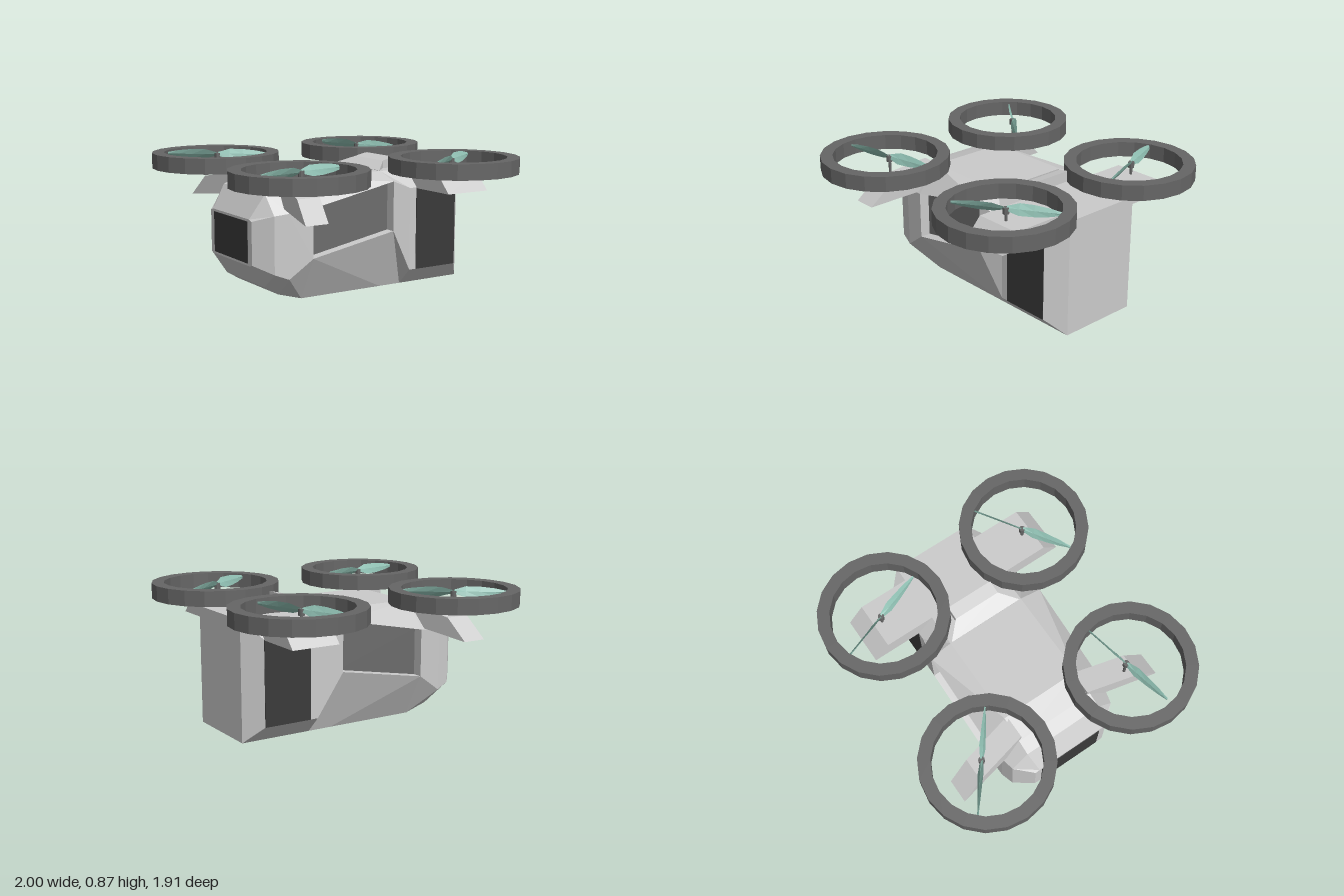
import * as THREE from 'three';

const material = (color) => new THREE.MeshStandardMaterial({ color, flatShading: true, side: THREE.DoubleSide });
const grey = material(0xcccccc);
const ringGrey = material(0x666666);
const glass = material(0x6c6c6c);
const black = material(0x3a3a3a);
const teal = material(0x8fbfb2);

function add(parent, name, geometry, mat, x = 0, y = 0, z = 0) {
  const mesh = new THREE.Mesh(geometry, mat);
  mesh.name = name;
  mesh.position.set(x, y, z);
  parent.add(mesh);
  return mesh;
}

// Geometry from a list of triangles, each corner an [x, y, z]
function fromTriangles(tris) {
  const g = new THREE.BufferGeometry();
  g.setAttribute('position', new THREE.Float32BufferAttribute(tris.flat(2), 3));
  g.computeVertexNormals();
  return g;
}

// Skin over a row of closed sections; skip(i, j) leaves a strip open
function loft(rings, skip = () => false) {
  const tris = [];
  const n = rings[0].length;
  for (let i = 0; i < rings.length - 1; i++) {
    for (let j = 0; j < n; j++) {
      if (skip(i, j)) continue;
      const k = (j + 1) % n;
      const a = rings[i][j], b = rings[i][k], c = rings[i + 1][k], d = rings[i + 1][j];
      if (j < n / 2) tris.push([a, d, b], [d, c, b]);
      else tris.push([a, d, c], [a, c, b]);
    }
  }
  const first = rings[0], last = rings[rings.length - 1];
  for (let j = 1; j < n - 1; j++) {
    tris.push([first[0], first[j], first[j + 1]], [last[0], last[j + 1], last[j]]);
  }
  return fromTriangles(tris);
}

// Cabin stations from nose to tail: x, then half-width and height of
// the floor edge, lower side, upper side and roof edge
const stations = [
  [-0.745, [[0.24, 0.24], [0.27, 0.25], [0.27, 0.52], [0.24, 0.53]]],
  [-0.65, [[0.25, 0.1], [0.38, 0.2], [0.38, 0.56], [0.27, 0.68]]],
  [-0.56, [[0.26, 0.045], [0.4, 0.165], [0.4, 0.57], [0.27, 0.71]]],
  [-0.4, [[0.27, 0], [0.42, 0.28], [0.42, 0.59], [0.27, 0.76]]],
  [0.2, [[0.27, 0], [0.42, 0.39], [0.42, 0.71], [0.27, 0.76]]],
  [0.36, [[0.27, 0], [0.38, 0.11], [0.38, 0.65], [0.27, 0.76]]],
  [0.73, [[0.27, 0], [0.38, 0.11], [0.38, 0.65], [0.27, 0.76]]],
  [0.83, [[0.27, 0], [0.27, 0], [0.27, 0.76], [0.27, 0.76]]],
];

function buildCabin(parent) {
  const rings = stations.map(([x, side]) => [
    ...side.map(([w, y]) => [x, y, w]),
    ...side.slice().reverse().map(([w, y]) => [x, y, -w]),
  ]);
  add(parent, 'cabin', loft(rings, (i, j) => i === 3 && (j === 1 || j === 5)), grey);

  for (const s of [1, -1]) {
    // Recessed side window with its surrounding reveal
    const outline = [[-0.4, 0.28], [0.2, 0.39], [0.2, 0.71], [-0.4, 0.59]];
    const outer = outline.map(([x, y]) => [x, y, s * 0.42]);
    const inner = outline.map(([x, y]) => [x, y, s * 0.35]);
    const reveal = [];
    for (let i = 0; i < 4; i++) {
      const k = (i + 1) % 4;
      const quad = [outer[i], outer[k], inner[k], inner[i]];
      if (s < 0) quad.reverse();
      reveal.push([quad[0], quad[1], quad[2]], [quad[0], quad[2], quad[3]]);
    }
    add(parent, 'windowReveal', fromTriangles(reveal), grey);
    const pane = s > 0 ? inner : inner.slice().reverse();
    add(parent, 'sideWindow', fromTriangles([[pane[0], pane[1], pane[2]], [pane[0], pane[2], pane[3]]]), glass);
    // Dark side door
    add(parent, 'sideDoor', new THREE.BoxGeometry(0.32, 0.54, 0.01), black, 0.57, 0.38, s * 0.378);
  }

  add(parent, 'windshield', new THREE.BoxGeometry(0.008, 0.26, 0.44), black, -0.745, 0.385, 0);

  // Raised roof fairing
  const fairing = [[0.2, 0.26, 0.762], [0.3, 0.16, 0.81], [0.385, 0.16, 0.83]].map(([x, w, y]) =>
    [[x, 0.74, w], [x, y, w], [x, y, -w], [x, 0.74, -w]]);
  add(parent, 'roofFairing', loft(fairing), grey);
}

// Arm of the given side profile [reach, y], swept across x and sheared outward
function arm(parent, name, profile, x, width, shear, s) {
  const shape = new THREE.Shape(profile.map(([r, y]) => new THREE.Vector2(r, y)));
  const g = new THREE.ExtrudeGeometry(shape, { depth: width, bevelEnabled: false });
  g.translate(0, 0, -width / 2);
  g.rotateY(-Math.PI / 2);
  const p = g.attributes.position;
  for (let i = 0; i < p.count; i++) p.setX(i, p.getX(i) + shear * (p.getZ(i) - 0.3));
  g.computeVertexNormals();
  const mesh = add(parent, name, g, grey, x, 0, 0);
  mesh.scale.z = s;
}

// Duct ring with a square section
function ringGeometry() {
  const profile = [[0.34, 0], [0.42, 0], [0.42, 0.1], [0.34, 0.1], [0.34, 0]];
  return new THREE.LatheGeometry(profile.map(([r, y]) => new THREE.Vector2(r, y)), 20);
}

// One twisted, tapered propeller blade along +x: reach, chord, pitch
function bladeGeometry() {
  const cuts = [[0.005, 0.03, 0.9], [0.08, 0.075, 1.05], [0.17, 0.07, 1.15], [0.26, 0.05, 1.2], [0.335, 0.02, 1.25]];
  return loft(cuts.map(([x, chord, pitch]) => {
    const c = Math.cos(pitch), n = Math.sin(pitch);
    return [[-0.5, 0], [0, 0.005], [0.5, 0], [0, -0.005]].map(([u, t]) =>
      [x, u * chord * n + t * c, -u * chord * c + t * n]);
  }));
}

function buildRotor(parent, x, s, angle) {
  const rotor = new THREE.Group();
  rotor.name = 'rotor';
  parent.add(rotor);
  add(rotor, 'ductRing', ringGeometry(), ringGrey, x < 0 ? -0.58 : 0.575, 0.76, s * 0.535 - 0.005);
  const z = s * 0.54 - 0.025;
  add(rotor, 'motorShaft', new THREE.CylinderGeometry(0.009, 0.009, 0.15, 8), ringGrey, x, 0.765, z);
  add(rotor, 'motorCap', new THREE.CylinderGeometry(0.02, 0.02, 0.04, 10), ringGrey, x, 0.825, z);
  for (const turn of [0, Math.PI]) {
    const blade = add(rotor, 'propellerBlade', bladeGeometry(), teal, x, 0.84, z);
    blade.rotation.y = angle + turn;
  }
}

export function createModel() {
  const model = new THREE.Group();
  model.name = 'quadrotorAircraft';

  const body = new THREE.Group();
  body.name = 'body';
  body.position.z = -0.022;
  model.add(body);
  buildCabin(body);

  // Rear arms are straight, front arms sweep toward the nose
  const rearProfile = [[0.2, 0.645], [0.705, 0.645], [0.6, 0.76], [0.2, 0.76]];
  const frontProfile = [[0.25, 0.61], [0.74, 0.555], [0.6, 0.69], [0.25, 0.755]];
  for (const s of [1, -1]) {
    arm(body, 'rearArm', rearProfile, 0.57, 0.315, 0, s);
    arm(body, 'frontArm', frontProfile, -0.485, 0.155, -0.2, s);
  }

  buildRotor(model, -0.555, -1, -0.66);
  buildRotor(model, 0.57, -1, -1.22);
  buildRotor(model, -0.555, 1, 0.2);
  buildRotor(model, 0.57, 1, 0.57);
  return model;
}
